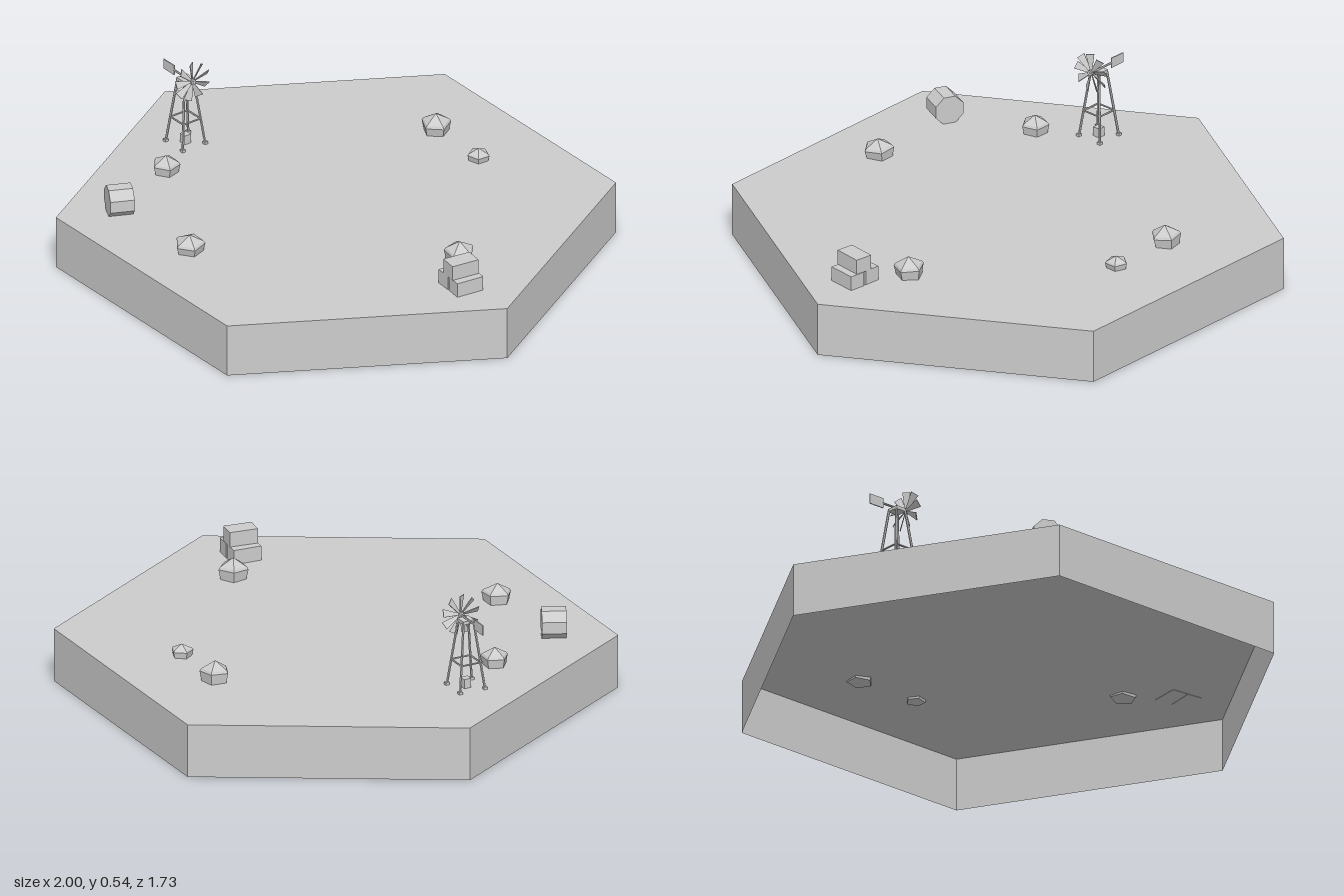
import * as THREE from 'three';

export function createModel() {
  const model = new THREE.Group();
  const grey = new THREE.MeshStandardMaterial({ color: 0xcccccc });
  grey.name = 'plain grey';
  grey.flatShading = true;
  grey.side = THREE.DoubleSide;
  const GROUND = 0.2;

  function add(parent, name, geometry, x = 0, y = 0, z = 0) {
    const mesh = new THREE.Mesh(geometry, grey);
    mesh.name = name;
    mesh.position.set(x, y, z);
    parent.add(mesh);
    return mesh;
  }

  // straight round bar between two points
  function beam(parent, name, a, b, r) {
    const dir = b.clone().sub(a);
    const mesh = add(parent, name, new THREE.CylinderGeometry(r, r, dir.length(), 6));
    mesh.position.copy(a).add(b).multiplyScalar(0.5);
    mesh.quaternion.setFromUnitVectors(new THREE.Vector3(0, 1, 0), dir.normalize());
  }

  // hexagonal tile: open-bottomed walls and a very gently uneven top
  const walls = new THREE.CylinderGeometry(1, 1, GROUND, 6, 1, true);
  walls.rotateY(Math.PI / 6);
  add(model, 'tileWalls', walls, 0, GROUND / 2, 0);
  const top = new THREE.RingGeometry(0, 1, 6, 14);
  top.rotateX(-Math.PI / 2);
  const p = top.attributes.position;
  for (let i = 0; i < p.count; i++) {
    const x = p.getX(i), z = p.getZ(i);
    const inside = Math.max(0, 0.75 - Math.hypot(x, z));
    p.setY(i, 0.002 * inside * Math.sin(7 * x + 1) * Math.cos(6 * z));
  }
  top.computeVertexNormals();
  add(model, 'tileTop', top, 0, GROUND, 0);

  // five-sided boulders: x, z, radius, height, turn
  const rocks = [
    [-0.187, -0.588, 0.055, 0.075, 0.2],
    [0.068, -0.583, 0.041, 0.045, 0.9],
    [0.61, -0.085, 0.056, 0.075, 0.5],
    [-0.53, 0.353, 0.051, 0.067, 1.2],
    [-0.02, 0.636, 0.056, 0.066, 0.0],
  ];
  for (const [x, z, r, h, turn] of rocks) {
    const profile = [[0, -0.008], [r * 0.84, -0.008], [r, h * 0.48], [r * 0.9, h * 0.6], [0, h]]
      .map(([a, b]) => new THREE.Vector2(a, b));
    const rock = add(model, 'rock', new THREE.LatheGeometry(profile, 5), x, GROUND, z);
    rock.rotation.set(0.06, turn, -0.06);
  }

  // round hay bale lying on its side
  const round = new THREE.CylinderGeometry(0.057, 0.057, 0.088, 8);
  round.rotateY(Math.PI / 8);
  round.rotateX(Math.PI / 2);
  add(model, 'roundBale', round, -0.395, GROUND + 0.05, 0.663).rotation.y = -0.44;

  // stack of three square bales: x, y, z, width, turn
  const bales = [
    [0.737, 0.0265, 0.028, 0.06, -0.08],
    [0.804, 0.0265, 0.034, 0.06, -0.12],
    [0.772, 0.082, 0.032, 0.066, -0.14],
  ];
  for (const [x, y, z, w, turn] of bales) {
    add(model, 'squareBale', new THREE.BoxGeometry(w, 0.056, 0.106), x, GROUND + y, z).rotation.y = turn;
  }

  // wind pump tower: four leaning legs, a ring of braces and small feet
  const pump = new THREE.Group();
  pump.name = 'windPump';
  pump.position.set(-0.66, GROUND, 0.167);
  model.add(pump);
  const BASE = 0.05, HEAD = 0.02, TOWER = 0.255;
  const corners = [[1, 1], [-1, 1], [-1, -1], [1, -1]];
  const legPoint = ([sx, sz], y) => {
    const half = BASE + (HEAD - BASE) * (y / TOWER);
    return new THREE.Vector3(sx * half, y, sz * half);
  };
  corners.forEach((c, i) => {
    const next = corners[(i + 1) % 4];
    beam(pump, 'towerLeg', legPoint(c, -0.006), legPoint(c, TOWER), 0.0048);
    beam(pump, 'towerBrace', legPoint(c, 0.1), legPoint(next, 0.1), 0.0035);
    add(pump, 'towerFoot', new THREE.BoxGeometry(0.014, 0.012, 0.014), c[0] * BASE, 0.004, c[1] * BASE);
  });
  add(pump, 'towerHead', new THREE.BoxGeometry(0.045, 0.012, 0.045), 0, TOWER, 0);
  add(pump, 'pumpBox', new THREE.BoxGeometry(0.028, 0.036, 0.028), 0, 0.017, 0);

  // shaft and tail vane
  beam(pump, 'shaft', new THREE.Vector3(-0.07, 0.263, 0), new THREE.Vector3(0.05, 0.263, 0), 0.004);
  add(pump, 'tailVane', new THREE.BoxGeometry(0.062, 0.038, 0.004), -0.096, 0.263, 0);

  // wheel of pitched tapering blades facing +x
  const wheel = new THREE.Group();
  wheel.name = 'windWheel';
  wheel.position.set(0.04, 0.263, 0);
  wheel.rotation.y = Math.PI / 2;
  pump.add(wheel);
  const hub = new THREE.CylinderGeometry(0.011, 0.011, 0.016, 8);
  hub.rotateX(Math.PI / 2);
  add(wheel, 'hub', hub);
  const outline = new THREE.Shape([[-0.004, 0.008], [0.004, 0.008], [0.015, 0.072], [-0.015, 0.072]]
    .map(([a, b]) => new THREE.Vector2(a, b)));
  const bladeShape = new THREE.ExtrudeGeometry(outline, { depth: 0.003, bevelEnabled: false });
  bladeShape.translate(0, 0, -0.0015);
  bladeShape.rotateY(0.6);
  for (let i = 0; i < 9; i++) {
    add(wheel, 'blade', bladeShape).rotation.z = (i / 9) * Math.PI * 2 + 0.07;
  }
  return model;
}
